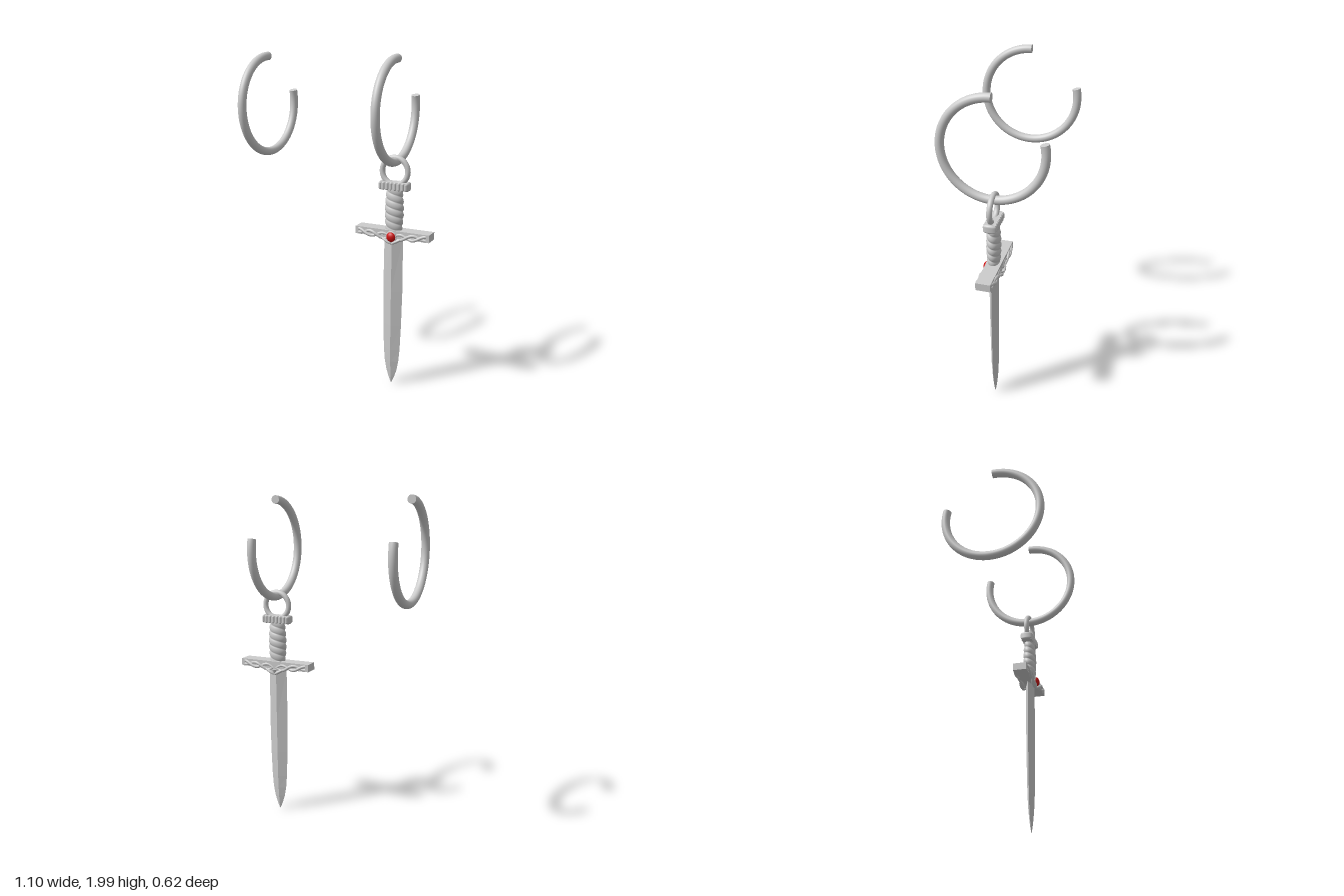
import * as THREE from 'three';

const grey = new THREE.MeshStandardMaterial({ color: 0xcccccc });
const greyFlat = new THREE.MeshStandardMaterial({ color: 0xcccccc, flatShading: true });
const red = new THREE.MeshStandardMaterial({ color: 0xcc1111 });

function add(parent, name, geometry, material = grey, x = 0, y = 0, z = 0) {
  const mesh = new THREE.Mesh(geometry, material);
  mesh.name = name;
  mesh.position.set(x, y, z);
  parent.add(mesh);
  return mesh;
}

// Skin over closed rings stacked upward; point(i, j) gives [x, y, z]
function loft(rows, cols, point) {
  const pos = [], idx = [];
  for (let i = 0; i < rows; i++) for (let j = 0; j < cols; j++) pos.push(...point(i, j));
  for (let i = 0; i < rows - 1; i++) {
    for (let j = 0; j < cols; j++) {
      const k = (j + 1) % cols;
      const a = i * cols + j, b = i * cols + k, c = b + cols, d = a + cols;
      idx.push(a, d, b, b, d, c);
    }
  }
  const g = new THREE.BufferGeometry();
  g.setAttribute('position', new THREE.Float32BufferAttribute(pos, 3));
  g.setIndex(idx);
  g.computeVertexNormals();
  return g;
}

// Open hoop with flat ends, standing in the YZ plane
function makeHoop(name, x) {
  const R = 0.287, r = 0.025, gap = THREE.MathUtils.degToRad(76.5), arc = Math.PI * 2 - gap;
  const hoop = new THREE.Group();
  hoop.name = name;
  add(hoop, 'hoopWire', new THREE.TorusGeometry(R, r, 20, 96, arc));
  for (const [a, turn] of [[0, Math.PI / 2], [arc, -Math.PI / 2]]) {
    const cap = new THREE.CircleGeometry(r, 20);
    cap.rotateX(turn);
    cap.rotateZ(a);
    add(hoop, 'hoopEnd', cap, grey, R * Math.cos(a), R * Math.sin(a), 0);
  }
  hoop.rotation.set(0, -Math.PI / 2, Math.PI / 2 + gap, 'YXZ');
  hoop.position.set(x, 1.688, 0);
  return hoop;
}

// Diamond-section blade, stations are [y, half width, half depth]
function makeBlade() {
  const st = [[0.01, 0.001, 0.001], [0.05, 0.018, 0.008], [0.1, 0.034, 0.014], [0.16, 0.045, 0.019],
    [0.24, 0.052, 0.023], [0.4, 0.058, 0.026], [0.62, 0.062, 0.028], [0.95, 0.059, 0.029]];
  const corners = [[1, 0], [0, 1], [-1, 0], [0, -1]];
  return loft(st.length, 4, (i, j) => [corners[j][0] * st[i][1], st[i][0], corners[j][1] * st[i][2]]);
}

// Two-start twisted grip, swelling in the middle
function makeGrip() {
  const rows = 120, cols = 40, y0 = 0.98, y1 = 1.245;
  return loft(rows, cols, (i, j) => {
    const t = i / (rows - 1), y = y0 + (y1 - y0) * t, a = (j / cols) * Math.PI * 2;
    const ridge = Math.abs(Math.cos(a - (y / 0.084) * Math.PI * 2));
    const s = (0.82 + 0.18 * Math.sin(Math.PI * t)) * (0.84 + 0.16 * Math.sqrt(ridge));
    return [0.058 * s * Math.cos(a), y, 0.041 * s * Math.sin(a)];
  });
}

// Pommel: core, rounded end blocks and a row of upright ribs on both faces
function makePommel() {
  const pommel = new THREE.Group();
  pommel.name = 'pommel';
  add(pommel, 'pommelCore', new THREE.BoxGeometry(0.16, 0.046, 0.062));
  for (const s of [-1, 1]) {
    const end = add(pommel, 'pommelEnd', new THREE.CapsuleGeometry(0.014, 0.026, 6, 14), grey, s * 0.08, 0, 0);
    end.scale.z = 2.7;
    for (let i = 0; i < 6; i++) {
      add(pommel, 'pommelRib', new THREE.CapsuleGeometry(0.0095, 0.03, 5, 10), grey, -0.06 + i * 0.024, 0, s * 0.029);
    }
  }
  pommel.position.set(0, 1.261, -0.004);
  return pommel;
}

function makeGuard() {
  const guard = new THREE.Group();
  guard.name = 'guard';
  // Crossbar deepening toward the middle
  const shape = new THREE.Shape();
  shape.moveTo(-0.232, 1.002);
  shape.lineTo(-0.232, 0.957);
  shape.lineTo(-0.1, 0.957);
  shape.quadraticCurveTo(-0.04, 0.95, 0, 0.93);
  shape.quadraticCurveTo(0.04, 0.95, 0.1, 0.957);
  shape.lineTo(0.232, 0.957);
  shape.lineTo(0.232, 1.002);
  add(guard, 'crossbar', new THREE.ExtrudeGeometry(shape, { depth: 0.085, bevelEnabled: false }), greyFlat, 0, 0, -0.05);

  // Twisted vines carved along both faces
  for (const [face, z] of [[1, 0.033], [-1, -0.048]]) {
    for (const side of [-1, 1]) {
      for (const phase of [0, Math.PI]) {
        const pts = [];
        for (let i = 0; i <= 16; i++) {
          const t = i / 16, w = t * Math.PI * 2.5 + phase, swell = Math.sin(Math.PI * Math.min(1, (1 - t) * 1.1 + 0.05));
          pts.push(new THREE.Vector3(
            side * (0.012 + 0.2 * t),
            0.962 + 0.016 * t + 0.017 * (1 - 0.35 * t) * Math.sin(w),
            z + face * (swell * (0.007 + 0.005 * Math.cos(w)) - 0.003)));
        }
        add(guard, 'vine', new THREE.TubeGeometry(new THREE.CatmullRomCurve3(pts), 48, 0.009, 10));
      }
      // Leaf sweeping down to the middle point
      const leaf = add(guard, 'leaf', new THREE.SphereGeometry(1, 16, 12), grey, side * 0.03, 0.938, z);
      leaf.scale.set(0.038, 0.01, 0.016);
      leaf.rotation.z = side * 0.5;
    }
    const point = add(guard, 'centerPoint', new THREE.ConeGeometry(0.016, 0.035, 12), grey, 0, 0.934, z);
    point.rotation.x = Math.PI;
  }

  // Gem in its bezel, on the front only
  add(guard, 'bezel', new THREE.TorusGeometry(0.029, 0.006, 10, 28), grey, 0, 0.964, 0.036);
  const gem = add(guard, 'gem', new THREE.SphereGeometry(0.029, 24, 16), red, 0, 0.964, 0.038);
  gem.scale.z = 0.7;
  return guard;
}

export function createModel() {
  const model = new THREE.Group();
  model.name = 'earrings';
  model.add(makeHoop('plainHoop', -0.527), makeHoop('pendantHoop', 0.316));

  // Dagger hanging from the second hoop
  const dagger = new THREE.Group();
  dagger.name = 'dagger';
  add(dagger, 'hangingRing', new THREE.TorusGeometry(0.079, 0.016, 16, 56), grey, 0, 1.346, -0.003);
  dagger.add(makePommel());
  add(dagger, 'grip', makeGrip(), grey, 0, 0, -0.003);
  dagger.add(makeGuard());
  add(dagger, 'blade', makeBlade(), greyFlat, 0, 0, -0.002);
  dagger.position.x = 0.312;
  model.add(dagger);
  return model;
}
